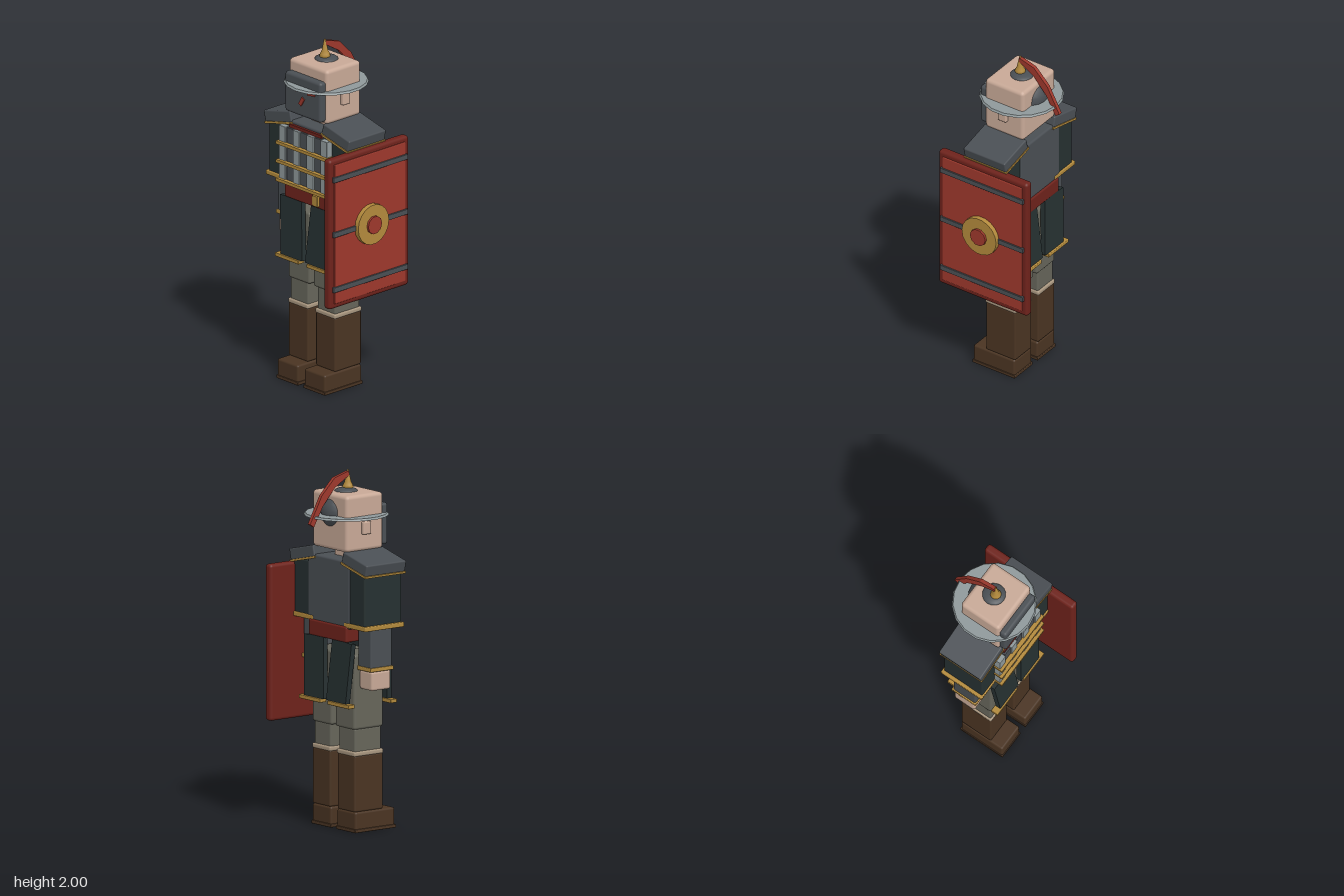
import * as THREE from 'three';
import { RoundedBoxGeometry } from 'three/addons/geometries/RoundedBoxGeometry.js';

const CX = -0.03; // body axis; the shield offsets it from the centre

function paint(name, color) {
  const m = new THREE.MeshStandardMaterial({ color });
  m.name = name;
  return m;
}

export function createModel() {
  const skin = paint('skin', 0xc8a997);
  const slate = paint('slate', 0x4a4f54);
  const steel = paint('steel', 0x8f999b);
  const gold = paint('gold', 0xb38a3c);
  const red = paint('red', 0x9e382c);
  const darkRed = paint('darkRed', 0x6e221b);
  const cloth = paint('darkCloth', 0x263031);
  const trousers = paint('trousers', 0x66655a);
  const leather = paint('leather', 0x4a3422);
  const tan = paint('tan', 0xa8967f);

  const model = new THREE.Group();
  model.name = 'armouredGuard';

  function add(name, geo, mat, x, y, z, parent = model) {
    const m = new THREE.Mesh(geo, mat);
    m.name = name;
    m.position.set(x, y, z);
    parent.add(m);
    return m;
  }
  // Bevelled block given by its limits
  function block(name, mat, [x0, x1], [y0, y1], [z0, z1], r = 0.01, parent = model) {
    const w = x1 - x0, h = y1 - y0, d = z1 - z0;
    const geo = r > 0
      ? new RoundedBoxGeometry(w, h, d, 2, Math.min(r, w / 2.1, h / 2.1, d / 2.1))
      : new THREE.BoxGeometry(w, h, d);
    return add(name, geo, mat, (x0 + x1) / 2, (y0 + y1) / 2, (z0 + z1) / 2, parent);
  }

  for (const s of [-1, 1]) {
    const side = s > 0 ? 'left' : 'right';
    // Limits measured outwards from the body axis, mirrored by side
    const span = (a, b) => s > 0 ? [CX + a, CX + b] : [CX - b, CX - a];

    // Leg and boot
    const leg = new THREE.Group();
    leg.name = side + 'Leg';
    model.add(leg);
    block('sole', leather, span(0.022, 0.196), [0, 0.02], [-0.102, 0.184], 0.004, leg);
    block('foot', leather, span(0.026, 0.192), [0.01, 0.115], [-0.098, 0.18], 0.012, leg);
    block('bootShaft', leather, span(0.031, 0.188), [0.115, 0.43], [-0.1, 0.1], 0.01, leg);
    block('bootCuff', tan, span(0.029, 0.19), [0.425, 0.453], [-0.103, 0.103], 0.01, leg);
    block('knee', trousers, span(0.036, 0.181), [0.44, 0.58], [-0.093, 0.093], 0.01, leg);
    block('thigh', trousers, span(0.014, 0.188), [0.575, 0.995], [-0.103, 0.103], 0.015, leg);

    // Skirt panels, front and back, with hems
    for (const f of [-1, 1]) {
      const where = f > 0 ? 'Front' : 'Back';
      const panel = add(side + where + 'SkirtPanel', new THREE.BoxGeometry(0.172, 0.35, 0.03),
        cloth, CX + s * 0.111, 0.895, f * 0.136);
      panel.rotation.set(-f * 0.06, 0, -s * 0.08);
      block(side + where + 'SkirtHem', gold, span(0.032, 0.222), [0.705, 0.727],
        f > 0 ? [0.125, 0.17] : [-0.17, -0.125], 0.004);
    }

    // Arm
    const arm = new THREE.Group();
    arm.name = side + 'Arm';
    model.add(arm);
    block('sleeve', cloth, span(0.14, 0.312), [1.165, 1.475], [-0.13, 0.13], 0.008, arm);
    block('sleeveHem', gold, span(0.135, 0.33), [1.148, 1.175], [-0.138, 0.138], 0.006, arm);
    block('forearm', slate, span(0.185, 0.3), [0.925, 1.15], [-0.075, 0.075], 0.01, arm);
    block('wristBand', gold, span(0.182, 0.307), [0.912, 0.935], [-0.082, 0.082], 0.005, arm);
    block('hand', skin, span(0.187, 0.3), [0.805, 0.913], [-0.068, 0.068], 0.014, arm);

    // Sloping shoulder plate with a trimmed underside
    const shoulder = new THREE.Group();
    shoulder.name = side + 'ShoulderPlate';
    shoulder.position.set(CX + s * 0.233, 1.514, 0);
    shoulder.rotation.z = -s * 0.235;
    model.add(shoulder);
    add('plate', new RoundedBoxGeometry(0.218, 0.065, 0.28, 2, 0.008), slate, 0, 0, 0, shoulder);
    add('plateTrim', new THREE.BoxGeometry(0.225, 0.012, 0.285), gold, 0, -0.036, 0, shoulder);

    // Ears and eyes
    block(side + 'Ear', skin, span(0.15, 0.176), [1.658, 1.73], [-0.028, 0.028], 0.008);
    const eye = add(side + 'Eye', new THREE.BoxGeometry(0.06, 0.02, 0.008), red,
      CX + s * 0.072, 1.735, 0.172);
    eye.rotation.z = s * 0.14;
  }

  // Torso, belt and buckle
  block('torso', slate, [CX - 0.185, CX + 0.185], [1.14, 1.52], [-0.135, 0.135], 0.012);
  block('belt', darkRed, [CX - 0.168, CX + 0.168], [1.066, 1.155], [-0.145, 0.15], 0.01);
  block('buckle', gold, [0.045, 0.088], [1.08, 1.142], [0.145, 0.168], 0.004);

  // Chest plates in three rows with gold strips
  const armour = new THREE.Group();
  armour.name = 'chestArmour';
  model.add(armour);
  block('collar', darkRed, [CX - 0.13, CX + 0.13], [1.475, 1.502], [0.12, 0.15], 0.004, armour);
  for (let r = 0; r < 3; r++) {
    const y = 1.165 + r * 0.109;
    for (let c = 0; c < 7; c++) {
      const x = CX - 0.195 + c * 0.0557;
      block('scale', c % 2 ? slate : steel, [x + 0.001, x + 0.0547], [y, y + 0.1],
        c % 2 ? [0.12, 0.16] : [0.12, 0.167], 0.004, armour);
    }
    block('scaleTrim', gold, [CX - 0.2, CX + 0.2], [y - 0.009, y + 0.009], [0.12, 0.184], 0, armour);
  }

  // Neck and head
  block('neck', skin, [CX - 0.055, CX + 0.055], [1.5, 1.58], [-0.05, 0.05], 0.005);
  block('head', skin, [CX - 0.155, CX + 0.155], [1.563, 1.88], [-0.13, 0.13], 0.022);
  block('faceMask', slate, [CX - 0.145, CX + 0.145], [1.58, 1.815], [0.12, 0.17], 0.018);
  const mouth = add('mouthMark', new THREE.BoxGeometry(0.024, 0.052, 0.008), red, CX - 0.003, 1.672, 0.172);
  mouth.rotation.z = -0.55;

  // Helmet: brim, rear guard, crown, spike and plume
  const brim = new THREE.CylinderGeometry(0.228, 0.235, 0.012, 18).toNonIndexed();
  brim.computeVertexNormals();
  add('brim', brim, steel, CX, 1.754, -0.01);
  add('rearGuard', new THREE.SphereGeometry(0.1, 16, 12), slate, CX, 1.77, -0.066);
  const crown = add('crown', new THREE.SphereGeometry(0.066, 16, 8, 0, Math.PI * 2, 0, Math.PI / 2),
    slate, CX, 1.878, -0.012);
  crown.scale.y = 0.32;
  const spike = [[0, 1.885], [0.026, 1.888], [0.031, 1.9], [0.027, 1.912], [0.018, 1.93], [0.005, 1.995], [0, 2]]
    .map(([r, y]) => new THREE.Vector2(r, y));
  add('spike', new THREE.LatheGeometry(spike, 10), gold, CX, 0, 0);

  const plumeShape = new THREE.Shape([[0, 1.99], [-0.1, 1.962], [-0.19, 1.872], [-0.272, 1.72],
    [-0.245, 1.702], [-0.182, 1.812], [-0.1, 1.905], [0, 1.965]]
    .map(([z, y]) => new THREE.Vector2(-z, y)));
  const plume = new THREE.ExtrudeGeometry(plumeShape, { depth: 0.022, bevelEnabled: false });
  plume.translate(0, 0, -0.011).rotateY(Math.PI / 2);
  add('plume', plume, red, CX, 0, 0);

  // Shield with rails and round boss
  const shield = new THREE.Group();
  shield.name = 'shield';
  model.add(shield);
  block('shieldFrame', darkRed, [0.276, 0.328], [0.575, 1.452], [-0.3, 0.3], 0.018, shield);
  block('shieldFace', red, [0.31, 0.334], [0.605, 1.422], [-0.268, 0.268], 0.005, shield);
  for (const y of [0.69, 1.013, 1.335]) {
    block('shieldRail', slate, [0.325, 0.342], [y - 0.016, y + 0.016], [-0.28, 0.28], 0.004, shield);
  }
  const disc = (r, h, n) => new THREE.CylinderGeometry(r, r, h, n).rotateZ(Math.PI / 2);
  add('boss', disc(0.116, 0.032, 18), gold, 0.346, 1.013, 0, shield);
  add('bossCentre', disc(0.052, 0.03, 10), red, 0.36, 1.013, 0, shield);

  return model;
}
